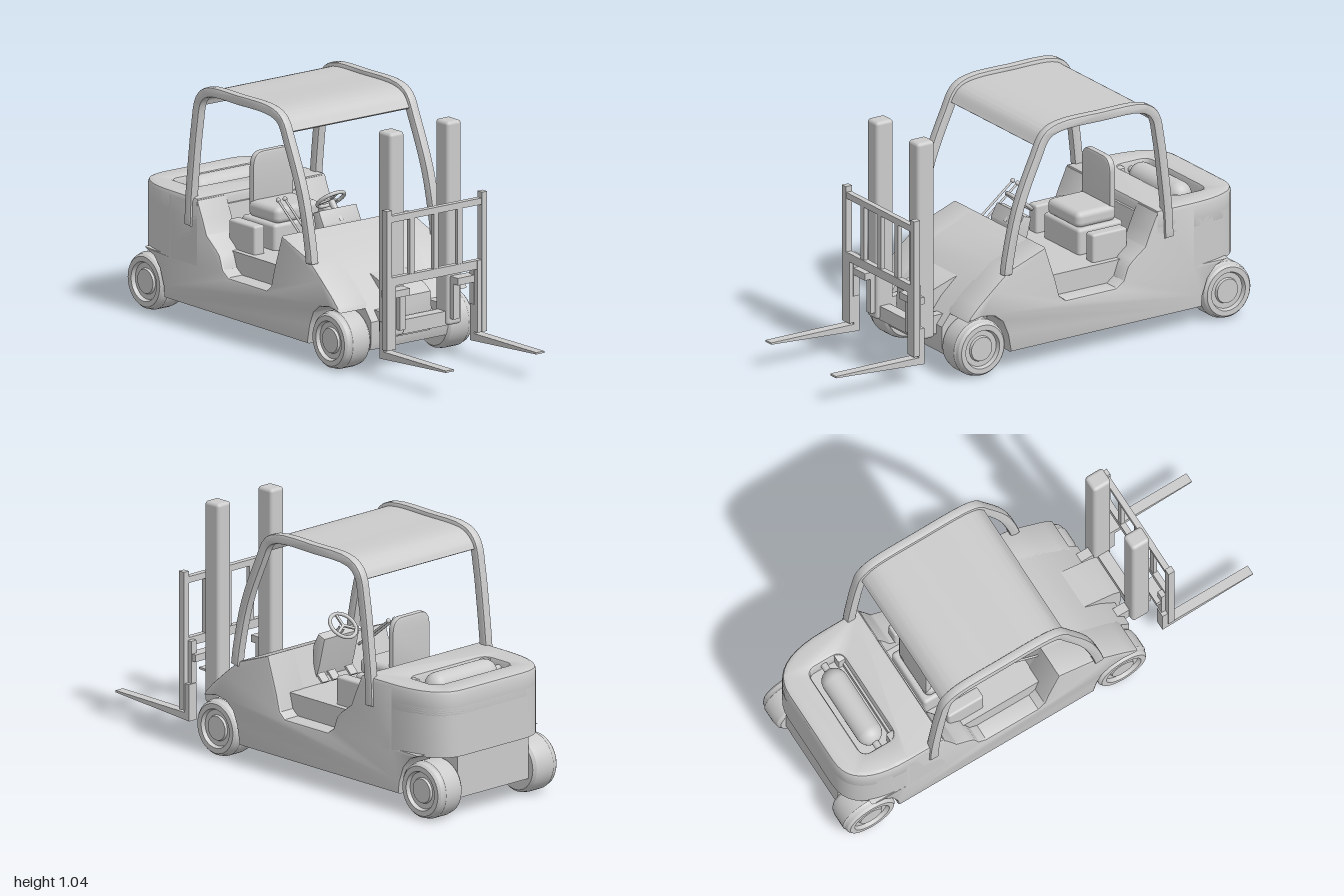
import * as THREE from 'three';
import { toCreasedNormals } from 'three/addons/utils/BufferGeometryUtils.js';
import { RoundedBoxGeometry } from 'three/addons/geometries/RoundedBoxGeometry.js';

const grey = new THREE.MeshStandardMaterial({ color: 0xcccccc });

export function createModel() {
  const model = new THREE.Group();

  const add = (name, geometry) => {
    const mesh = new THREE.Mesh(geometry, grey);
    mesh.name = name;
    model.add(mesh);
    return mesh;
  };

  // Box given by its limits on each axis
  const box = (name, x0, x1, y0, y1, z0, z1, r = 0) => {
    const s = [x1 - x0, y1 - y0, z1 - z0];
    const g = r ? new RoundedBoxGeometry(...s, 3, r) : new THREE.BoxGeometry(...s);
    g.translate((x0 + x1) / 2, (y0 + y1) / 2, (z0 + z1) / 2);
    return add(name, g);
  };
  const boxPair = (name, x0, x1, ...rest) => {
    box(name + 'Left', x0, x1, ...rest);
    box(name + 'Right', -x1, -x0, ...rest);
  };

  const extrude = (shape, depth, bevel) =>
    new THREE.ExtrudeGeometry(shape, {
      depth: depth - 2 * bevel, curveSegments: 10, bevelEnabled: bevel > 0,
      bevelSize: bevel, bevelThickness: bevel, bevelOffset: -bevel, bevelSegments: 2,
    }).translate(0, 0, bevel);

  // Side outline of [z, y] points, extruded across x
  const across = (name, pts, x0, x1, bevel = 0) => {
    const shape = new THREE.Shape(pts.map(([z, y]) => new THREE.Vector2(-z, y)));
    const g = extrude(shape, x1 - x0, bevel).rotateY(Math.PI / 2).translate(x0, 0, 0);
    return add(name, toCreasedNormals(g, 0.6));
  };

  // Plan outline (v = -z), extruded up y
  const upward = (name, shape, y0, y1, bevel = 0) => {
    const g = extrude(shape, y1 - y0, bevel).rotateX(-Math.PI / 2).translate(0, y0, 0);
    return add(name, toCreasedNormals(g, 0.6));
  };

  // Band of even thickness along a smooth [z, y] path
  const band = (pts, t) => {
    const curve = new THREE.CatmullRomCurve3(pts.map(([z, y]) => new THREE.Vector3(z, y, 0)), false, 'centripetal');
    const a = [], b = [];
    for (let i = 0; i <= 48; i++) {
      const p = curve.getPoint(i / 48), d = curve.getTangent(i / 48);
      a.push([p.x - d.y * t / 2, p.y + d.x * t / 2]);
      b.unshift([p.x + d.y * t / 2, p.y - d.x * t / 2]);
    }
    return [...a, ...b];
  };

  const rod = (name, from, to, r) => {
    const path = new THREE.LineCurve3(new THREE.Vector3(...from), new THREE.Vector3(...to));
    return add(name, new THREE.TubeGeometry(path, 1, r, 10, false));
  };

  // Central hull: nose, hood, floor and rear underside
  across('hull', [[0.43, 0.08], [0.44, 0.11], [0.44, 0.2], [0.37, 0.29], [0.28, 0.37], [0.2, 0.435], [0.02, 0.5],
    [-0.03, 0.34], [-0.5, 0.34], [-0.52, 0.5], [-0.7, 0.5], [-0.7, 0.3], [-0.96, 0.3], [-0.96, 0.08]], -0.2, 0.2);
  box('floor', -0.26, 0.26, 0.2, 0.34, -0.5, -0.01);

  // Side shells with wheel arches and step cutout
  const side = [[0.19, 0.08], [0.205, 0.16], [0.23, 0.22], [0.27, 0.252], [0.33, 0.262], [0.4, 0.25], [0.39, 0.27],
    [0.35, 0.31], [0.28, 0.37], [0.2, 0.435], [0.02, 0.5], [-0.03, 0.35], [-0.05, 0.275], [-0.08, 0.25],
    [-0.33, 0.25], [-0.365, 0.275], [-0.385, 0.33], [-0.41, 0.355], [-0.47, 0.4], [-0.495, 0.46], [-0.53, 0.535],
    [-0.72, 0.535], [-0.72, 0.27], [-0.88, 0.27], [-0.82, 0.245], [-0.78, 0.2], [-0.755, 0.13], [-0.75, 0.08]];
  across('sideShellLeft', side, 0.18, 0.335, 0.01);
  across('sideShellRight', side, -0.335, -0.18, 0.01);
  across('noseCover', [[0.25, 0.37], [0.31, 0.355], [0.43, 0.315], [0.465, 0.29], [0.47, 0.22], [0.46, 0.125], [0.3, 0.125]], -0.09, 0.09);

  // Rear body with rounded corners and a well for the tank
  const rearPlan = () => {
    const s = new THREE.Shape();
    s.moveTo(-0.335, 0.53);
    s.lineTo(0.335, 0.53);
    s.lineTo(0.335, 0.7);
    s.quadraticCurveTo(0.335, 0.97, 0.17, 0.97);
    s.lineTo(-0.17, 0.97);
    s.quadraticCurveTo(-0.335, 0.97, -0.335, 0.7);
    return s;
  };
  upward('rearBody', rearPlan(), 0.26, 0.47);
  const deck = rearPlan(), well = new THREE.Path();
  const [wx, w0, w1, wr] = [0.215, 0.69, 0.85, 0.04];
  well.moveTo(-wx + wr, w0);
  well.lineTo(wx - wr, w0);
  well.quadraticCurveTo(wx, w0, wx, w0 + wr);
  well.lineTo(wx, w1 - wr);
  well.quadraticCurveTo(wx, w1, wx - wr, w1);
  well.lineTo(-wx + wr, w1);
  well.quadraticCurveTo(-wx, w1, -wx, w1 - wr);
  well.lineTo(-wx, w0 + wr);
  well.quadraticCurveTo(-wx, w0, -wx + wr, w0);
  deck.holes.push(well);
  upward('rearDeck', deck, 0.42, 0.545, 0.018);
  add('gasTank', new THREE.CapsuleGeometry(0.055, 0.26, 8, 24).rotateZ(Math.PI / 2).translate(0, 0.507, -0.77));
  rod('tankMount', [-0.22, 0.507, -0.77], [0.22, 0.507, -0.77], 0.015);

  // Wheels
  const tire = [[0, -0.067], [0.105, -0.067], [0.116, -0.055], [0.121, -0.03], [0.121, 0.035], [0.116, 0.042],
    [0.114, 0.057], [0.105, 0.067], [0.083, 0.067], [0.077, 0.05], [0.055, 0.05], [0.051, 0.06], [0, 0.06]];
  const wheel = toCreasedNormals(new THREE.LatheGeometry(tire.map(p => new THREE.Vector2(...p)), 36), 0.5).rotateZ(-Math.PI / 2);
  for (const [end, z] of [['front', 0.33], ['rear', -0.88]])
    for (const s of [1, -1]) {
      const m = add(end + 'Wheel' + (s > 0 ? 'Left' : 'Right'), wheel);
      m.position.set(s * 0.268, 0.121, z);
      if (s < 0) m.rotation.y = Math.PI;
    }
  rod('frontAxle', [-0.25, 0.12, 0.33], [0.25, 0.12, 0.33], 0.03);
  rod('rearAxle', [-0.25, 0.12, -0.88], [0.25, 0.12, -0.88], 0.03);

  // Overhead guard: two side hoops and a curved roof
  const hoop = band([[0.21, 0.42], [0.198, 0.5], [0.15, 0.7], [0.065, 0.9], [0.02, 0.985], [-0.04, 1.013], [-0.25, 1.017],
    [-0.46, 1.007], [-0.515, 0.965], [-0.54, 0.86], [-0.562, 0.7], [-0.58, 0.53], [-0.585, 0.42]], 0.042);
  across('guardHoopLeft', hoop, 0.305, 0.345, 0.008);
  across('guardHoopRight', hoop, -0.345, -0.305, 0.008);
  across('roof', band([[0.05, 0.94], [0.015, 0.988], [-0.04, 1.01], [-0.25, 1.014], [-0.46, 1.004],
    [-0.51, 0.968], [-0.525, 0.94]], 0.014), -0.315, 0.315);

  // Seat
  box('seatBase', -0.13, 0.13, 0.33, 0.45, -0.5, -0.28, 0.015);
  box('seatCushion', -0.115, 0.115, 0.445, 0.515, -0.48, -0.285, 0.025);
  const back = new THREE.Shape();
  back.moveTo(-0.105, 0.48);
  back.lineTo(0.105, 0.48);
  back.lineTo(0.105, 0.65);
  back.quadraticCurveTo(0.105, 0.717, 0.05, 0.717);
  back.lineTo(-0.05, 0.717);
  back.quadraticCurveTo(-0.105, 0.717, -0.105, 0.65);
  add('seatBack', toCreasedNormals(extrude(back, 0.03, 0.008), 0.6).translate(0, 0, -0.48));
  boxPair('sideConsole', 0.18, 0.235, 0.33, 0.46, -0.45, -0.28, 0.01);

  // Steering console, wheel, levers and pedals
  across('steeringConsole', [[0, 0.36], [0.0, 0.5], [-0.03, 0.555], [-0.07, 0.54], [-0.04, 0.42], [-0.02, 0.36]], -0.1, 0.1, 0.008);
  rod('steeringColumn', [0, 0.5, -0.01], [0, 0.575, -0.072], 0.014);
  const steering = new THREE.Group();
  steering.name = 'steeringWheel';
  steering.add(new THREE.Mesh(new THREE.TorusGeometry(0.06, 0.008, 10, 32), grey));
  for (let i = 0; i < 3; i++) {
    const spoke = new THREE.Mesh(new THREE.BoxGeometry(0.058, 0.012, 0.007).translate(0.029, 0, 0), grey);
    spoke.rotation.z = Math.PI / 6 + i * Math.PI * 2 / 3;
    steering.add(spoke);
  }
  steering.position.set(0, 0.58, -0.075);
  steering.rotation.x = -Math.PI / 2 - 0.7;
  model.add(steering);
  for (const x of [-0.195, -0.16]) {
    rod('lever', [x, 0.45, 0], [x, 0.585, -0.172], 0.005);
    add('leverKnob', new THREE.SphereGeometry(0.01, 12, 8).translate(x, 0.588, -0.175));
  }
  for (const x of [-0.06, 0.04, 0.1]) {
    const pedal = add('pedal', new THREE.BoxGeometry(0.04, 0.045, 0.01));
    pedal.position.set(x, 0.375, -0.06);
    pedal.rotation.x = 0.8;
  }

  // Mast
  boxPair('mastColumn', 0.112, 0.187, 0.155, 1.015, 0.465, 0.55, 0.015);
  box('mastCrossbeam', -0.14, 0.14, 0.155, 0.215, 0.485, 0.535);
  boxPair('mastMount', 0.12, 0.16, 0.16, 0.24, 0.4, 0.48);

  // Carriage brackets and load backrest
  boxPair('bracketUpright', 0.125, 0.155, 0.185, 0.36, 0.545, 0.572);
  boxPair('bracketArm', 0.125, 0.235, 0.335, 0.365, 0.55, 0.6);
  boxPair('bracketDrop', 0.21, 0.24, 0.24, 0.42, 0.57, 0.6);
  boxPair('backrestUpright', 0.235, 0.262, 0.125, 0.715, 0.59, 0.62);
  boxPair('backrestLowerUpright', 0.212, 0.24, 0.125, 0.43, 0.592, 0.618);
  box('backrestTopRail', -0.25, 0.25, 0.663, 0.69, 0.592, 0.617);
  box('backrestLowerRail', -0.25, 0.25, 0.393, 0.43, 0.592, 0.617);
  for (const x of [-0.125, 0, 0.125]) box('backrestBar', x - 0.012, x + 0.012, 0.42, 0.67, 0.595, 0.614);

  // Forks: tapered tines with upright heels
  const fork = [[0.565, 0.24], [0.565, 0.083], [1, 0.112], [1, 0.12], [0.592, 0.116], [0.592, 0.24]];
  across('forkLeft', fork, 0.215, 0.257);
  across('forkRight', fork, -0.257, -0.215);

  return model;
}
